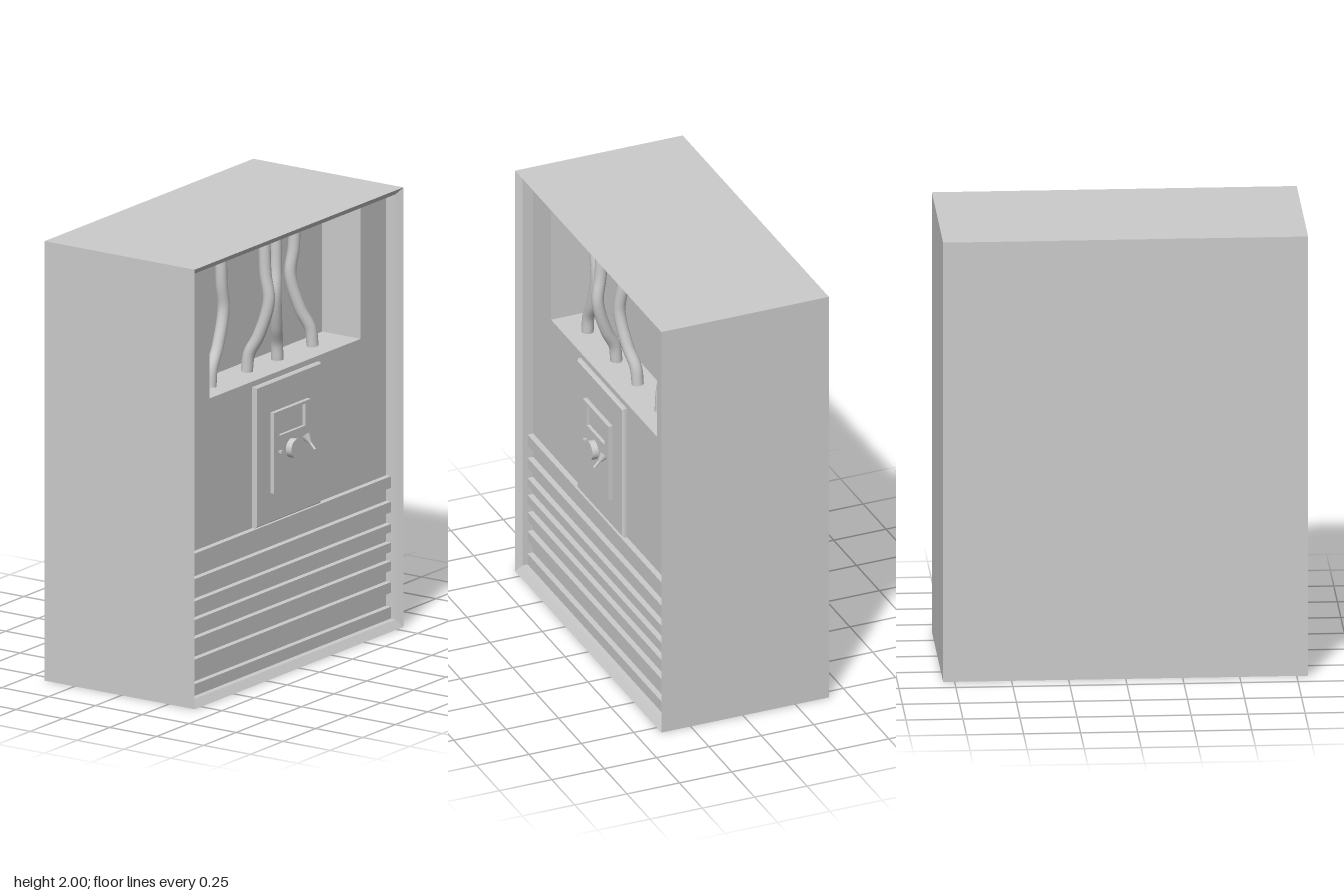
import * as THREE from 'three';

const material = new THREE.MeshStandardMaterial({ color: 0xcccccc, side: THREE.DoubleSide });

function add(parent, name, geometry) {
  const mesh = new THREE.Mesh(geometry, material);
  mesh.name = name;
  parent.add(mesh);
  return mesh;
}

// Skin over a chain of rectangles [x centre, half width, y0, y1, z], flat shaded, capped at both ends
function rectLoft(rects) {
  const pos = [];
  const rings = rects.map(([cx, w, y0, y1, z]) =>
    [[cx - w, y0, z], [cx + w, y0, z], [cx + w, y1, z], [cx - w, y1, z]]);
  const quad = (a, b, c, d) => pos.push(...a, ...b, ...c, ...a, ...c, ...d);
  const first = rings[0], last = rings[rings.length - 1];
  quad(first[3], first[2], first[1], first[0]);
  for (let r = 0; r < rings.length - 1; r++) {
    for (let i = 0; i < 4; i++) {
      const j = (i + 1) % 4;
      quad(rings[r][i], rings[r][j], rings[r + 1][j], rings[r + 1][i]);
    }
  }
  quad(...last);
  const geometry = new THREE.BufferGeometry();
  geometry.setAttribute('position', new THREE.Float32BufferAttribute(pos, 3));
  geometry.computeVertexNormals();
  return geometry;
}

// Tapered rod between two points
function rod(parent, name, a, b, ra, rb) {
  const from = new THREE.Vector3(...a), to = new THREE.Vector3(...b);
  const mesh = add(parent, name, new THREE.CylinderGeometry(rb, ra, from.distanceTo(to), 16));
  mesh.position.copy(from).add(to).multiplyScalar(0.5);
  mesh.quaternion.setFromUnitVectors(new THREE.Vector3(0, 1, 0), to.sub(from).normalize());
}

export function createModel() {
  const model = new THREE.Group();
  model.name = 'electricalCabinet';

  // Everything is built facing +z, then turned so the fitted face looks along +x
  const unit = new THREE.Group();
  unit.name = 'cabinetUnit';
  unit.rotation.y = Math.PI / 2;
  model.add(unit);

  // Cabinet: outer walls, chamfered rim, inset panel and pipe recess
  add(unit, 'cabinet', rectLoft([
    [0, 0.8, 0, 2, -0.41],
    [0, 0.8, 0, 2, 0.39],
    [0, 0.775, 0.035, 1.97, 0.365],
    [0, 0.775, 0.035, 1.97, 0.315],
    [0, 0.58, 1.35, 1.945, 0.315],
    [0, 0.58, 1.35, 1.945, 0.11],
  ]));

  // Vent slats
  const slats = [[0.037, 0.09], [0.154, 0.202], [0.255, 0.297], [0.34, 0.382],
    [0.43, 0.467], [0.52, 0.568], [0.631, 0.684]];
  for (const [y0, y1] of slats) {
    add(unit, 'ventSlat', rectLoft([[0, 0.775, y0, y1, 0.31], [0, 0.775, y0, y1, 0.342]]));
  }

  // Pipes: [foot x, foot z, sideways bend, depth bend]
  const pipes = [[-0.42, 0.21, 0.1, 0], [-0.127, 0.2, 0.025, 0.1],
    [0.106, 0.2, -0.085, 0.05], [0.37, 0.205, -0.07, -0.07]];
  const bend = [[1.35, 0], [1.43, 0.1], [1.52, 0.55], [1.68, 1], [1.8, 0.85], [1.945, 0.8]];
  for (const [x, z, dx, dz] of pipes) {
    const path = new THREE.CatmullRomCurve3(
      bend.map(([y, k]) => new THREE.Vector3(x + dx * k, y, z + dz * k)));
    add(unit, 'pipe', new THREE.TubeGeometry(path, 32, 0.027, 16));
  }

  // Control box with softened front edge
  const controls = new THREE.Group();
  controls.name = 'controls';
  unit.add(controls);
  add(controls, 'controlBox', rectLoft([
    [0, 0.252, 0.683, 1.325, 0.31],
    [0, 0.252, 0.683, 1.325, 0.327],
    [0, 0.245, 0.69, 1.318, 0.335],
  ]));

  // Raised control panel with sunken display
  add(controls, 'controlPanel', rectLoft([
    [0, 0.141, 0.82, 1.187, 0.33],
    [0, 0.141, 0.82, 1.187, 0.355],
    [0, 0.098, 1.075, 1.175, 0.355],
    [0, 0.098, 1.075, 1.175, 0.34],
  ]));

  // Dial, indicator and toggle lever
  const dial = add(controls, 'dial', new THREE.CylinderGeometry(0.043, 0.043, 0.035, 32));
  dial.rotation.x = Math.PI / 2;
  dial.position.set(-0.008, 1, 0.367);
  const indicator = add(controls, 'indicator', new THREE.BoxGeometry(0.014, 0.01, 0.02));
  indicator.position.set(-0.1, 1.003, 0.36);
  rod(controls, 'leverBase', [0.1, 1.03, 0.355], [0.1, 1.0, 0.38], 0.024, 0.007);
  rod(controls, 'lever', [0.1, 1.005, 0.376], [0.1, 0.974, 0.406], 0.006, 0.006);

  return model;
}
